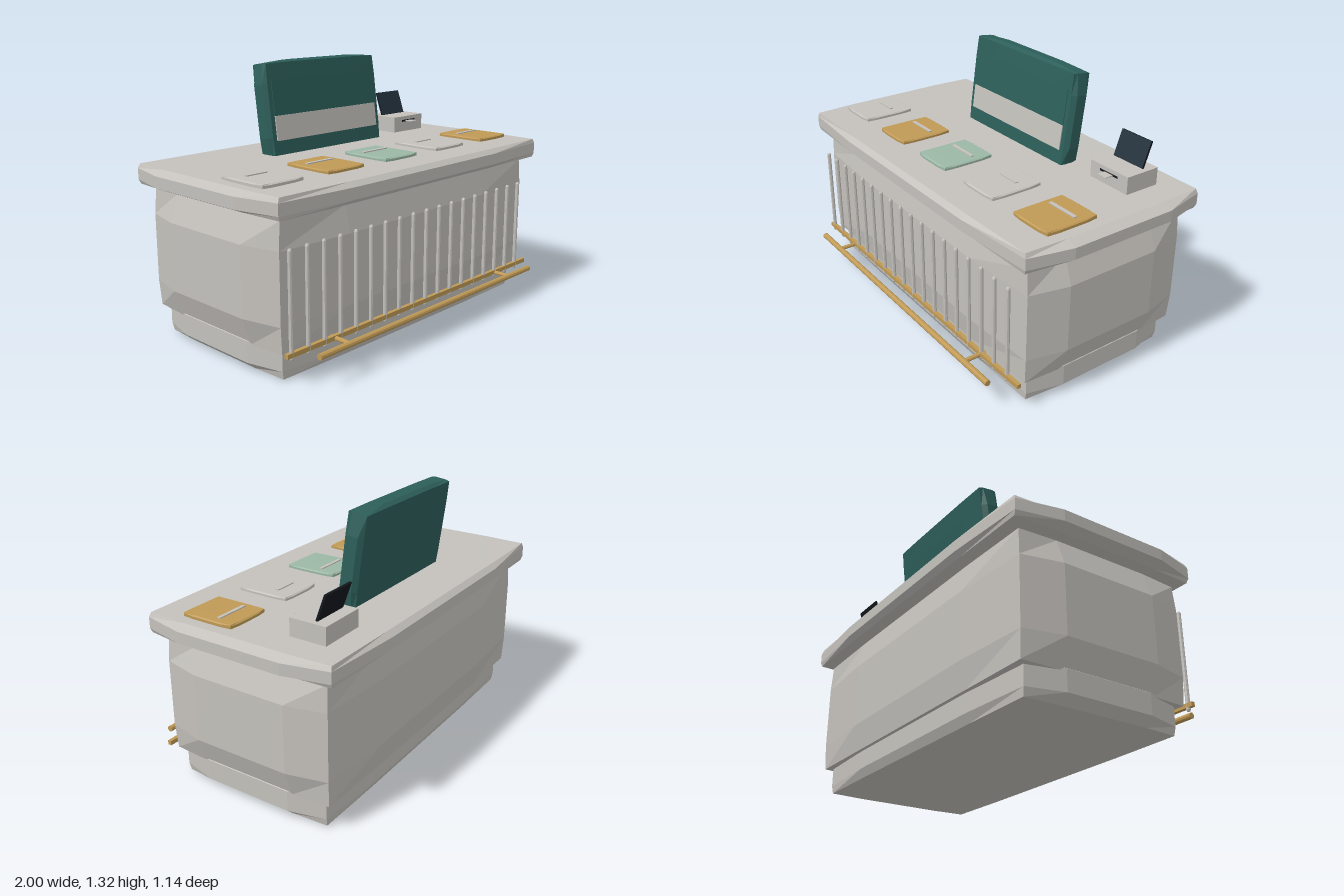
import * as THREE from 'three';

const mat = (name, color) => {
  const m = new THREE.MeshStandardMaterial({ color, flatShading: true });
  m.name = name;
  return m;
};

export function createModel() {
  const stone = mat('warm grey stone', 0xc4c1bc);
  const brass = mat('brass', 0xc09a56);
  const teal = mat('deep teal', 0x2d5f5a);
  const mint = mat('pale mint', 0x9cb8a6);
  const navy = mat('dark navy', 0x22303c);
  const black = mat('near black', 0x14171c);

  const root = new THREE.Group();
  root.name = 'serviceCounter';

  const add = (parent, name, geometry, material, x, y, z) => {
    const mesh = new THREE.Mesh(geometry, material);
    mesh.name = name;
    mesh.position.set(x, y, z);
    parent.add(mesh);
    return mesh;
  };
  const box = (w, h, d) => new THREE.BoxGeometry(w, h, d);

  // Box with 3 x 3 faces per side, whose edges and corners are pulled inwards
  const bulgedBox = (w, h, d) => {
    const g = new THREE.BoxGeometry(2, 2, 2, 3, 3, 3);
    const p = g.attributes.position;
    const half = [w / 2, h / 2, d / 2];
    for (let i = 0; i < p.count; i++) {
      const c = [p.getX(i), p.getY(i), p.getZ(i)];
      const extremes = c.filter((v) => Math.abs(v) > 0.9).length;
      const pull = [1, 1, 0.95, 0.94][extremes];
      const q = c.map((v, k) => (Math.abs(v) > 0.9 ? Math.sign(v) * pull : Math.sign(v) * 0.53) * half[k]);
      p.setXYZ(i, ...q);
    }
    g.computeVertexNormals();
    return g;
  };

  // Counter: plinth, body and worktop
  add(root, 'plinth', bulgedBox(1.82, 0.196, 0.87), stone, 0, 0.1, -0.035);
  add(root, 'counterBody', bulgedBox(1.9, 0.635, 0.95), stone, 0, 0.4425, -0.036);
  add(root, 'worktop', bulgedBox(2, 0.106, 1.064), stone, 0, 0.808, -0.036);

  // Vertical ribs along the front
  const ribGeometry = new THREE.CapsuleGeometry(0.0105, 0.48, 2, 8);
  for (let i = 0; i < 18; i++) {
    add(root, 'frontRib', ribGeometry, stone, -0.88 + i * 0.1, 0.38, 0.455);
  }

  // Brass trim strip and foot rail on two brackets
  add(root, 'trimStrip', box(1.82, 0.022, 0.02), brass, 0, 0.158, 0.455);
  const rail = add(root, 'footRail', new THREE.CylinderGeometry(0.015, 0.015, 1.62, 10), brass, 0, 0.155, 0.553);
  rail.rotation.z = Math.PI / 2;
  for (const side of [-1, 1]) {
    const bracket = add(root, 'railBracket', new THREE.CylinderGeometry(0.011, 0.011, 0.12, 8), brass, side * 0.62, 0.155, 0.494);
    bracket.rotation.x = Math.PI / 2;
  }

  // Leaning display board with an upper panel and a pale band
  const board = new THREE.Group();
  board.name = 'displayBoard';
  board.position.set(0, 1.075, -0.264);
  board.rotation.x = -0.133;
  root.add(board);
  add(board, 'boardBody', bulgedBox(0.82, 0.5, 0.104), teal, 0, 0, 0);
  add(board, 'upperPanel', box(0.73, 0.18, 0.004), teal, 0, 0.065, 0.051);
  add(board, 'paleBand', box(0.73, 0.125, 0.006), stone, 0, -0.088, 0.052);

  // Folders on the worktop, each with a clip bar
  const folderGeometry = bulgedBox(0.245, 0.024, 0.29);
  [stone, brass, mint, stone, brass].forEach((colour, i) => {
    const x = -0.775 + i * 0.387;
    add(root, 'folder', folderGeometry, colour, x, 0.865, 0.17);
    add(root, 'folderClip', box(colour === stone ? 0.12 : 0.17, 0.008, 0.018), stone, x, 0.878, 0.127);
  });

  // Till with slot, paper slip and tilted screen
  const till = new THREE.Group();
  till.name = 'till';
  root.add(till);
  add(till, 'tillBody', box(0.245, 0.09, 0.19), stone, 0.683, 0.902, -0.32);
  add(till, 'tillSlot', box(0.115, 0.01, 0.004), black, 0.683, 0.921, -0.225);
  add(till, 'paperSlip', box(0.055, 0.004, 0.05), stone, 0.683, 0.92, -0.203);
  const screen = new THREE.Group();
  screen.name = 'tillScreen';
  screen.position.set(0.683, 1.01, -0.37);
  screen.rotation.x = -0.35;
  till.add(screen);
  add(screen, 'screenBack', box(0.19, 0.135, 0.01), black, 0, 0, 0);
  add(screen, 'screenFace', box(0.188, 0.133, 0.003), navy, 0, 0, 0.005);

  return root;
}
